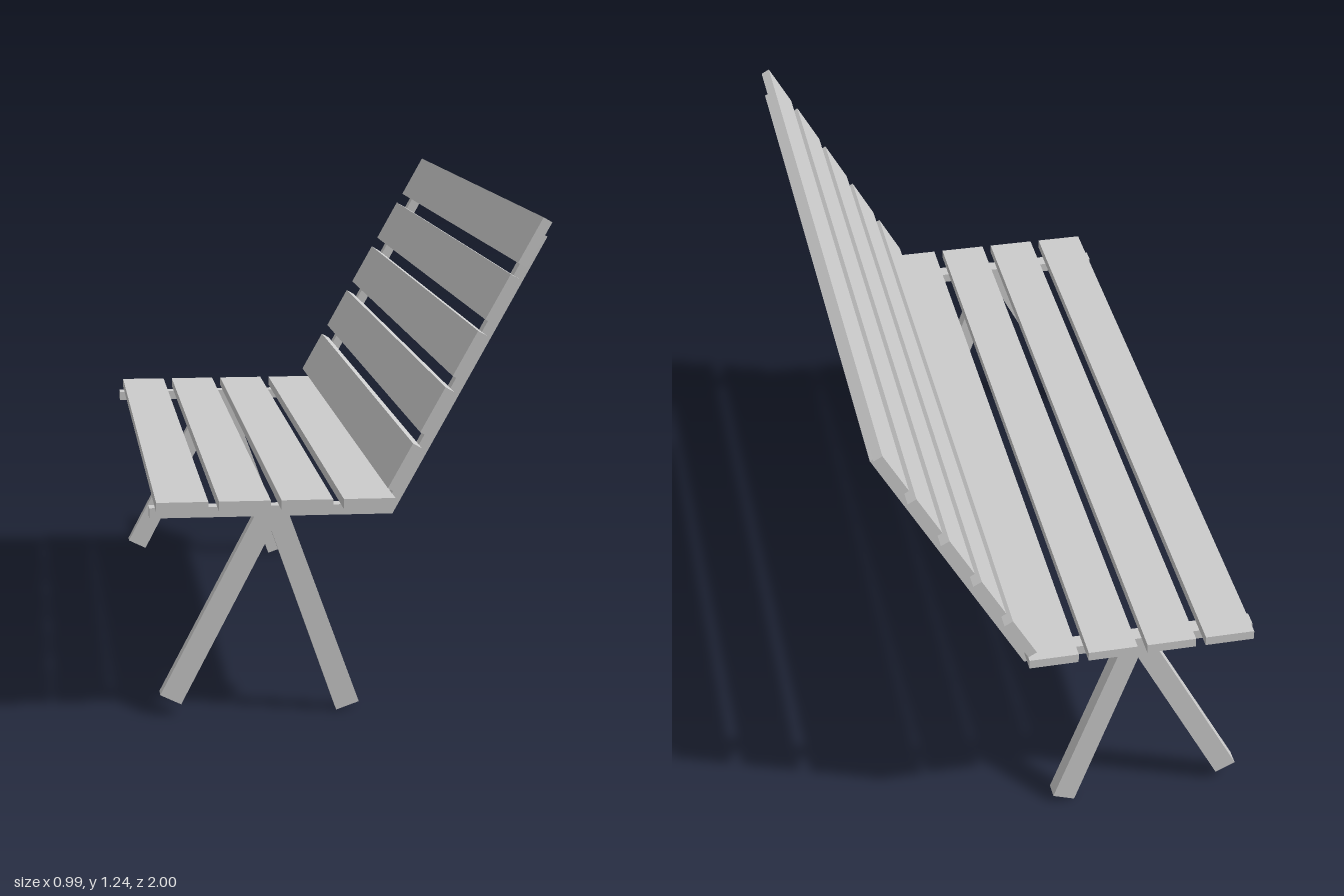
import * as THREE from 'three';

const material = new THREE.MeshStandardMaterial({ color: 0xcccccc, flatShading: true });

// Extrudes an outline in the x-y plane to a given width, centred on z
function profile(name, points, width, z) {
  const shape = new THREE.Shape(points.map(([x, y]) => new THREE.Vector2(x, y)));
  const geometry = new THREE.ExtrudeGeometry(shape, { depth: width, bevelEnabled: false });
  geometry.translate(0, 0, -width / 2);
  const mesh = new THREE.Mesh(geometry, material);
  mesh.name = name;
  mesh.position.z = z;
  return mesh;
}

// Plank running along z; tilt turns its x-y section
function plank(name, x, y, w, h, length, tilt = 0) {
  const mesh = new THREE.Mesh(new THREE.BoxGeometry(w, h, length), material);
  mesh.name = name;
  mesh.position.set(x, y, 0);
  mesh.rotation.z = tilt;
  return mesh;
}

export function createModel() {
  const bench = new THREE.Group();
  bench.name = 'bench';
  const barWidth = 0.042, frameZ = 0.919;
  const lean = THREE.MathUtils.degToRad(60.8);

  // Bent side rails and inverted-V legs at both ends
  for (const z of [frameZ, -frameZ]) {
    bench.add(profile('sideRail', [
      [-0.495, 0.5], [0.11, 0.5], [0.492, 1.187],
      [0.468, 1.2], [0.094, 0.526], [-0.495, 0.526],
    ], barWidth, z));
    bench.add(profile('legPair', [
      [-0.472, 0.05], [-0.42, 0.025], [-0.192, 0.462], [-0.03, 0],
      [0.027, 0.02], [-0.147, 0.5], [-0.235, 0.5],
    ], barWidth, z));
  }

  // Bar joining the two rails at the top of the back
  bench.add(plank('topBar', 0.472, 1.179, 0.033, 0.027, 2 * frameZ - barWidth, lean));

  // Four seat slats
  for (let i = 0; i < 4; i++) {
    bench.add(plank('seatSlat', -0.417 + i * 0.154, 0.5385, 0.128, 0.025, 2));
  }

  // Five back slats, leaning with the rails
  for (let i = 0; i < 5; i++) {
    bench.add(plank('backSlat', 0.132 + i * 0.0795, 0.625 + i * 0.1385, 0.127, 0.025, 2, lean));
  }
  return bench;
}
